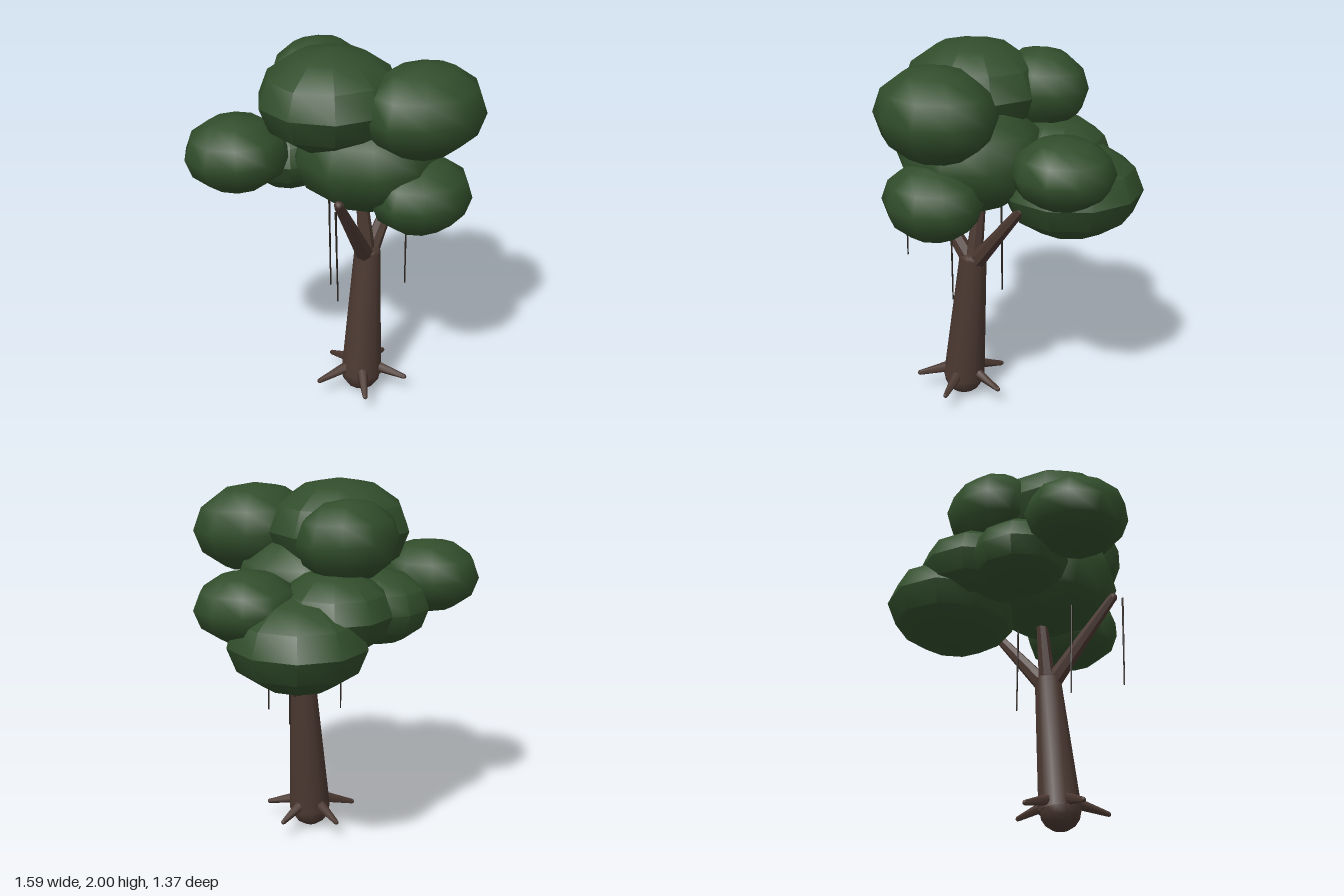
import * as THREE from 'three';
import { toCreasedNormals } from 'three/addons/utils/BufferGeometryUtils.js';

const foliage = new THREE.MeshStandardMaterial({ name: 'leaf green', color: 0x314d2b });
const bark = new THREE.MeshStandardMaterial({ name: 'bark brown', color: 0x4b3831 });
const vineMat = new THREE.MeshStandardMaterial({ name: 'vine dark brown', color: 0x2c241f });

// Low-poly leaf clump; big flat ones keep a hard equator
function clump(name, [x, y, z], [rx, ry, rz], hardEquator) {
  const g = new THREE.SphereGeometry(1, 10, 6).rotateY(Math.PI / 2).scale(rx, ry, rz);
  const mesh = new THREE.Mesh(toCreasedNormals(g, hardEquator ? 0.66 : 1.2), foliage);
  mesh.name = name;
  mesh.position.set(x, y, z);
  return mesh;
}

// Tapered limb from a to b, with optional rounded tip
function limb(name, a, b, r0, r1, sides, mat, crease = 1.2, roundTip = true) {
  const from = new THREE.Vector3(...a), to = new THREE.Vector3(...b);
  const dir = to.clone().sub(from), len = dir.length();
  const group = new THREE.Group();
  group.name = name;
  const shaft = new THREE.CylinderGeometry(r1, r0, len, sides);
  const mesh = new THREE.Mesh(toCreasedNormals(shaft, crease), mat);
  mesh.name = name + 'Shaft';
  mesh.position.y = len / 2;
  group.add(mesh);
  if (roundTip) {
    const tip = new THREE.Mesh(new THREE.SphereGeometry(r1, sides, 6), mat);
    tip.name = name + 'Tip';
    tip.position.y = len;
    group.add(tip);
  }
  group.position.copy(from);
  group.quaternion.setFromUnitVectors(new THREE.Vector3(0, 1, 0), dir.normalize());
  return group;
}

export function createModel() {
  const tree = new THREE.Group();
  tree.name = 'tree';

  // Leaning trunk with a rounded foot
  tree.add(limb('trunk', [-0.015, 0.11, 0.13], [0.045, 0.85, 0.105], 0.115, 0.073, 12, bark, 1.2, false));
  const foot = new THREE.Mesh(new THREE.SphereGeometry(0.112, 12, 8), bark);
  foot.name = 'trunkFoot';
  foot.position.set(-0.018, 0.114, 0.13);
  tree.add(foot);
  const crown = new THREE.Mesh(new THREE.SphereGeometry(0.073, 12, 6).scale(1, 0.4, 1), bark);
  crown.name = 'trunkTop';
  crown.position.set(0.045, 0.845, 0.105);
  tree.add(crown);

  // Five roots in a star
  for (let i = 0; i < 5; i++) {
    const a = Math.PI / 5 + (i * Math.PI * 2) / 5;
    const at = (r, y) => [-0.02 + r * Math.sin(a), y, 0.13 + r * Math.cos(a)];
    tree.add(limb('root' + (i + 1), at(0.06, 0.16), at(0.25, 0.102), 0.034, 0.014, 7, bark));
  }

  // Branches spreading from the trunk top
  const fork = [0.045, 0.8, 0.105];
  [
    ['rightBranch', [-0.3, 1.29, 0.27]],
    ['leftBranch', [0.38, 1.21, 0.02]],
    ['middleBranch', [0.04, 1.3, 0.04]],
  ].forEach(([name, tip]) => tree.add(limb(name, fork, tip, 0.05, 0.025, 7, bark, 0.6)));

  // Leaf clumps: name, centre, radii, hard equator
  [
    ['topClump', [-0.12, 1.735, 0], [0.385, 0.265, 0.375], true],
    ['frontTopClump', [0.16, 1.715, 0.385], [0.35, 0.24, 0.295]],
    ['backTopClump', [0.055, 1.738, -0.315], [0.285, 0.21, 0.225]],
    ['centreClump', [0.035, 1.43, 0.1], [0.385, 0.29, 0.4]],
    ['frontLowClump', [0.145, 1.262, 0.4], [0.288, 0.2, 0.25]],
    ['rightClump', [-0.535, 1.477, -0.25], [0.274, 0.195, 0.27]],
    ['leftClump', [0.53, 1.43, -0.125], [0.274, 0.182, 0.265]],
    ['backLeftClump', [0.36, 1.26, -0.31], [0.355, 0.245, 0.377], true],
    ['backMiddleClump', [0.155, 1.39, -0.33], [0.3, 0.215, 0.31], true],
    ['backRightClump', [-0.155, 1.37, -0.3], [0.275, 0.195, 0.258], true],
  ].forEach((c) => tree.add(clump(...c)));

  // Thin hanging vines: top, bottom
  [
    [[-0.346, 1.28, 0.3], [-0.335, 0.77, 0.302]],
    [[-0.187, 1.25, 0.062], [-0.177, 0.7, 0.058]],
    [[0.146, 1.2, 0.297], [0.152, 0.69, 0.292]],
    [[0.192, 1.2, 0.018], [0.196, 0.695, 0.014]],
  ].forEach(([a, b], i) => tree.add(limb('vine' + (i + 1), a, b, 0.006, 0.004, 5, vineMat)));

  return tree;
}
